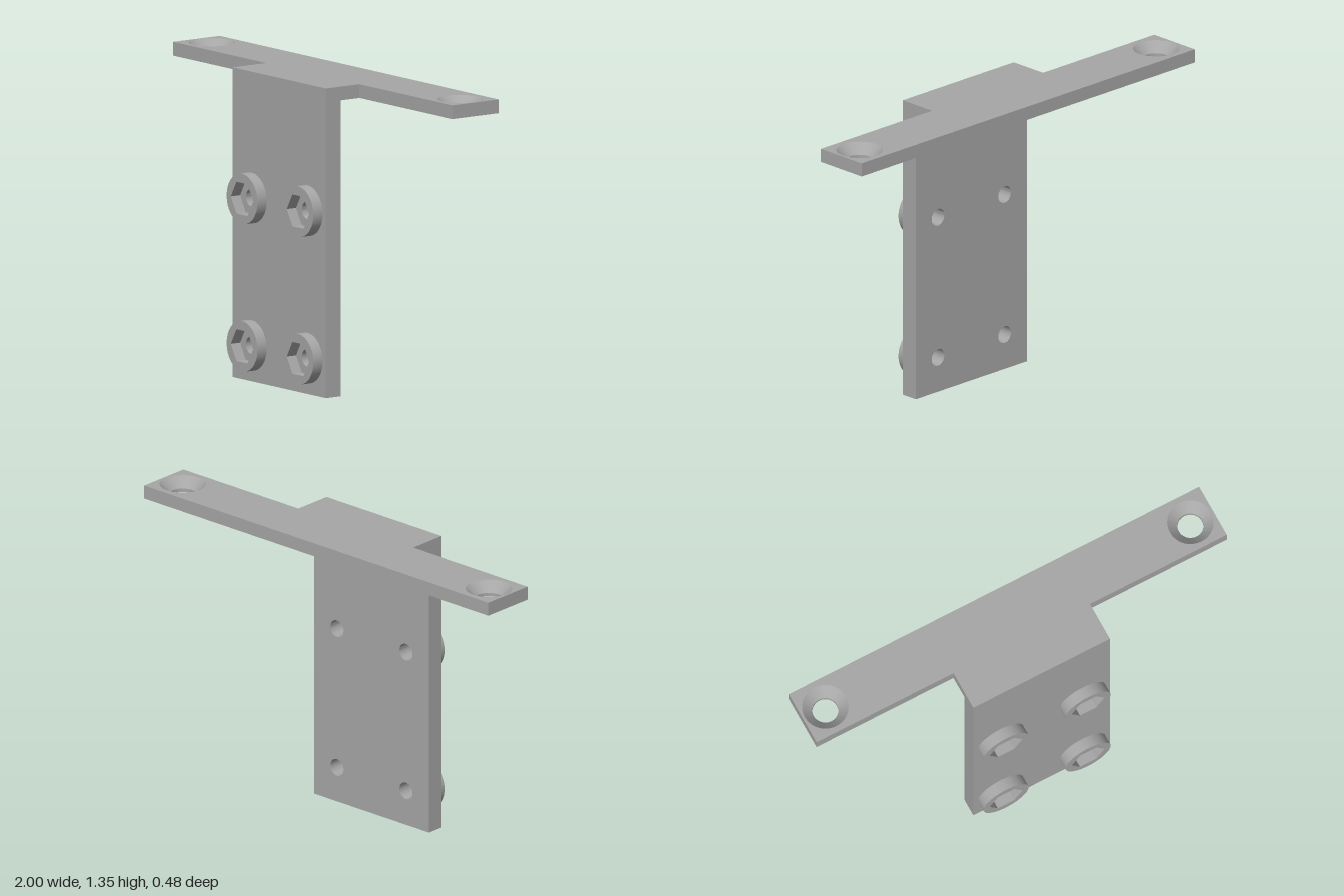
import * as THREE from 'three';
import { toCreasedNormals } from 'three/addons/utils/BufferGeometryUtils.js';

const W = 0.333;                 // half width of the upright plate
const TOP = 1.35, THICK = 0.06;  // flange top and thickness
const FRONT = 0.19, PLATE = 0.08;
const BOLT_X = 0.2, BOLT_Y = [0.157, 0.8];
const SINK = { x: 0.89, z: -0.115, wide: 0.1, narrow: 0.056, neck: 0.016 };

const polygon = (pts) => new THREE.Shape(pts.map(([x, y]) => new THREE.Vector2(x, y)));
const circle = (x, y, r, Type = THREE.Path) => new Type().absarc(x, y, r, 0, Math.PI * 2, false);
const extrude = (shape, depth, steps = 1) =>
  new THREE.ExtrudeGeometry(shape, { depth, steps, bevelEnabled: false, curveSegments: 24 });

export function createModel() {
  const group = new THREE.Group();
  const steel = new THREE.MeshStandardMaterial({ color: 0xa6a6a6 });
  steel.name = 'grey metal';
  const add = (geometry, name) => {
    const mesh = new THREE.Mesh(toCreasedNormals(geometry, 0.5), steel);
    mesh.name = name;
    group.add(mesh);
    return mesh;
  };

  // Upright plate with four through holes
  const plate = polygon([[-W, 0], [W, 0], [W, TOP - THICK], [-W, TOP - THICK]]);
  for (const x of [-BOLT_X, BOLT_X])
    for (const y of BOLT_Y) plate.holes.push(circle(x, y, 0.038));
  add(extrude(plate, PLATE), 'uprightPlate').position.z = FRONT - PLATE;

  // T-shaped top flange, drawn with shape y = -z
  const flange = polygon([
    [-W, -FRONT], [W, -FRONT], [W, -0.01], [1, -0.01],
    [1, 0.24], [-1, 0.24], [-1, -0.01], [-W, -0.01],
  ]);
  for (const s of [-1, 1]) flange.holes.push(circle(s * SINK.x, -SINK.z, SINK.wide));
  const flangeGeo = extrude(flange, THICK, 2);

  // Narrow the holes below the surface to form countersinks above a short neck
  const p = flangeGeo.attributes.position;
  for (let i = 0; i < p.count; i++) {
    if (p.getZ(i) > THICK - 0.001) continue;
    const cx = Math.sign(p.getX(i)) * SINK.x, cy = -SINK.z;
    const dx = p.getX(i) - cx, dy = p.getY(i) - cy;
    if (Math.hypot(dx, dy) < SINK.wide + 0.001) {
      const k = SINK.narrow / SINK.wide;
      p.setXY(i, cx + dx * k, cy + dy * k);
    }
    if (p.getZ(i) > 0.001) p.setZ(i, SINK.neck);
  }
  flangeGeo.rotateX(-Math.PI / 2);
  add(flangeGeo, 'topFlange').position.y = TOP - THICK;

  // Round bosses with hexagonal sockets
  const boss = circle(0, 0, 0.11, THREE.Shape);
  const hex = Array.from({ length: 6 }, (_, i) => {
    const a = (i * Math.PI) / 3;
    return new THREE.Vector2(0.08 * Math.cos(a), 0.08 * Math.sin(a));
  });
  boss.holes.push(new THREE.Path(hex));
  const bossGeo = extrude(boss, 0.05);
  for (const x of [-BOLT_X, BOLT_X])
    for (const y of BOLT_Y)
      add(bossGeo, `${y < 0.5 ? 'lower' : 'upper'}${x > 0 ? 'Left' : 'Right'}Boss`).position.set(x, y, FRONT);

  return group;
}
